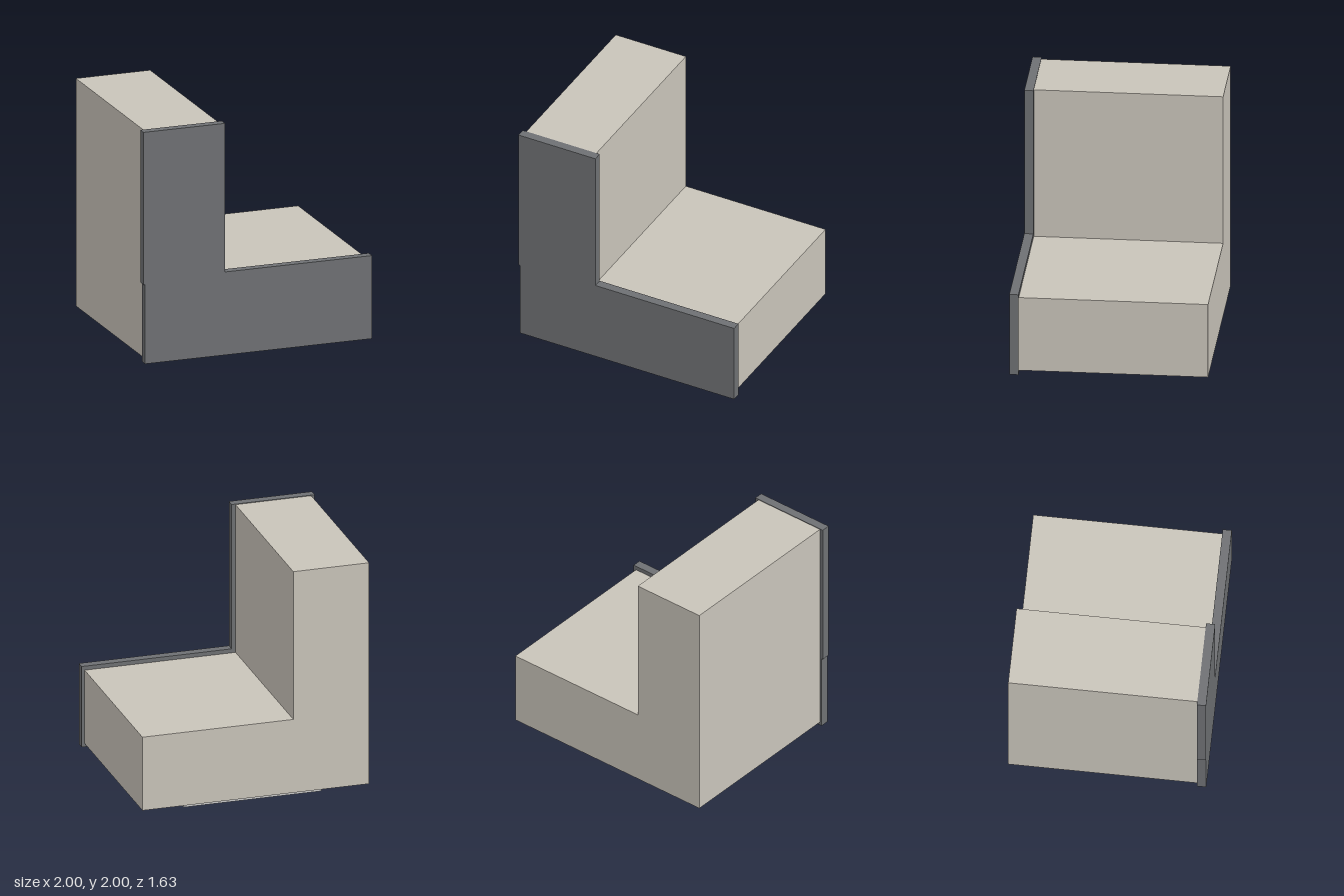
import * as THREE from 'three';

// Extrudes an outline in the x-y plane between two depths
function slab(name, points, zBack, zFront, color) {
  const shape = new THREE.Shape(points.map(([x, y]) => new THREE.Vector2(x, y)));
  const geometry = new THREE.ExtrudeGeometry(shape, { depth: zFront - zBack, bevelEnabled: false });
  geometry.translate(0, 0, zBack);
  const mesh = new THREE.Mesh(geometry, new THREE.MeshStandardMaterial({ color }));
  mesh.name = name;
  return mesh;
}

export function createModel() {
  const group = new THREE.Group();
  group.name = 'steppedCabinet';

  // L-shaped main body
  group.add(slab('body', [
    [-0.97, 0.05], [0.975, 0.05], [0.975, 0.695],
    [-0.32, 0.695], [-0.32, 1.995], [-0.97, 1.995],
  ], -0.815, 0.74, 0xc9c4ba));

  // Overhanging front panel, a touch wider on the upper left
  group.add(slab('frontPanel', [
    [-0.987, 0.02], [1, 0.02], [1, 0.73], [-0.287, 0.73],
    [-0.287, 2], [-1, 2], [-1, 0.697], [-0.987, 0.697],
  ], 0.74, 0.815, 0x6e7073));

  // Recessed plinth under the body
  const plinth = new THREE.Mesh(
    new THREE.BoxGeometry(1.185, 0.05, 1.34),
    new THREE.MeshStandardMaterial({ color: 0xd6d6d2 }),
  );
  plinth.position.set(0.002, 0.025, -0.06);
  plinth.name = 'plinth';
  group.add(plinth);

  return group;
}
